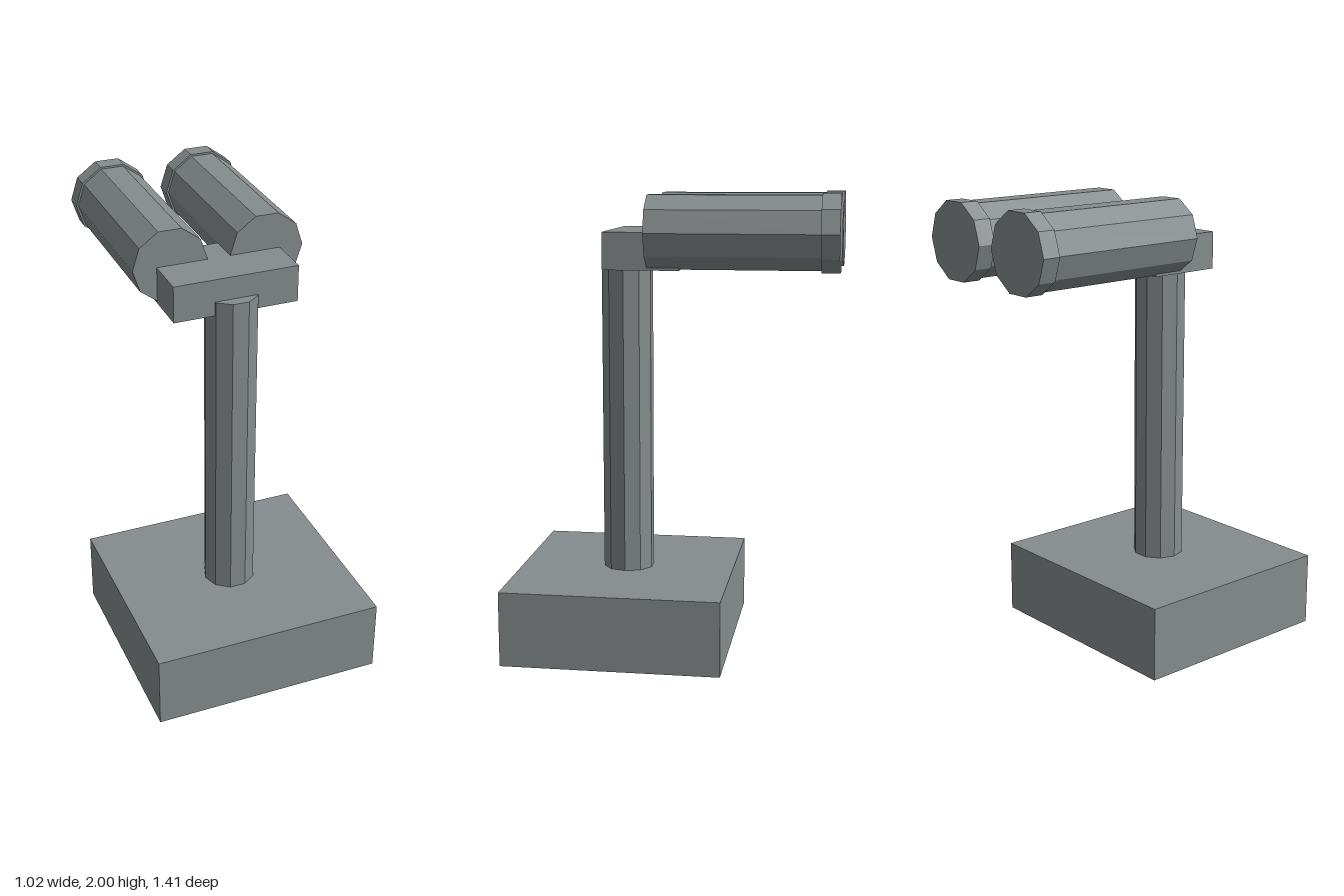
import * as THREE from 'three';

const grey = new THREE.MeshStandardMaterial({ color: 0x868c8d, flatShading: true });
grey.name = 'weathered grey metal';

function addPart(parent, name, geometry, x, y, z) {
  const mesh = new THREE.Mesh(geometry, grey);
  mesh.name = name;
  mesh.position.set(x, y, z);
  parent.add(mesh);
  return mesh;
}

// Ten-sided prism with corners pointing along x
function prism(radius, length) {
  return new THREE.CylinderGeometry(radius, radius, length, 10).rotateY(Math.PI / 2);
}

export function createModel() {
  const group = new THREE.Group();
  group.name = 'binocularViewer';

  // Stand
  addPart(group, 'base', new THREE.BoxGeometry(1.02, 0.327, 0.95), 0, 0.1635, 0.23);
  addPart(group, 'post', prism(0.113, 1.413), 0, 1.0335, 0.23);

  // Bridge joining the two barrels
  addPart(group, 'bridge', new THREE.BoxGeometry(0.54, 0.159, 0.325), 0, 1.7585, 0.1275);

  // Barrels with a wider rim at the far end
  for (const side of [-1, 1]) {
    const label = side > 0 ? 'left' : 'right';
    const x = side * 0.211;
    addPart(group, label + 'Barrel', prism(0.162, 0.727).rotateX(Math.PI / 2), x, 1.838, -0.2635);
    addPart(group, label + 'LensRim', prism(0.171, 0.078).rotateX(Math.PI / 2), x, 1.838, -0.666);
  }

  return group;
}
